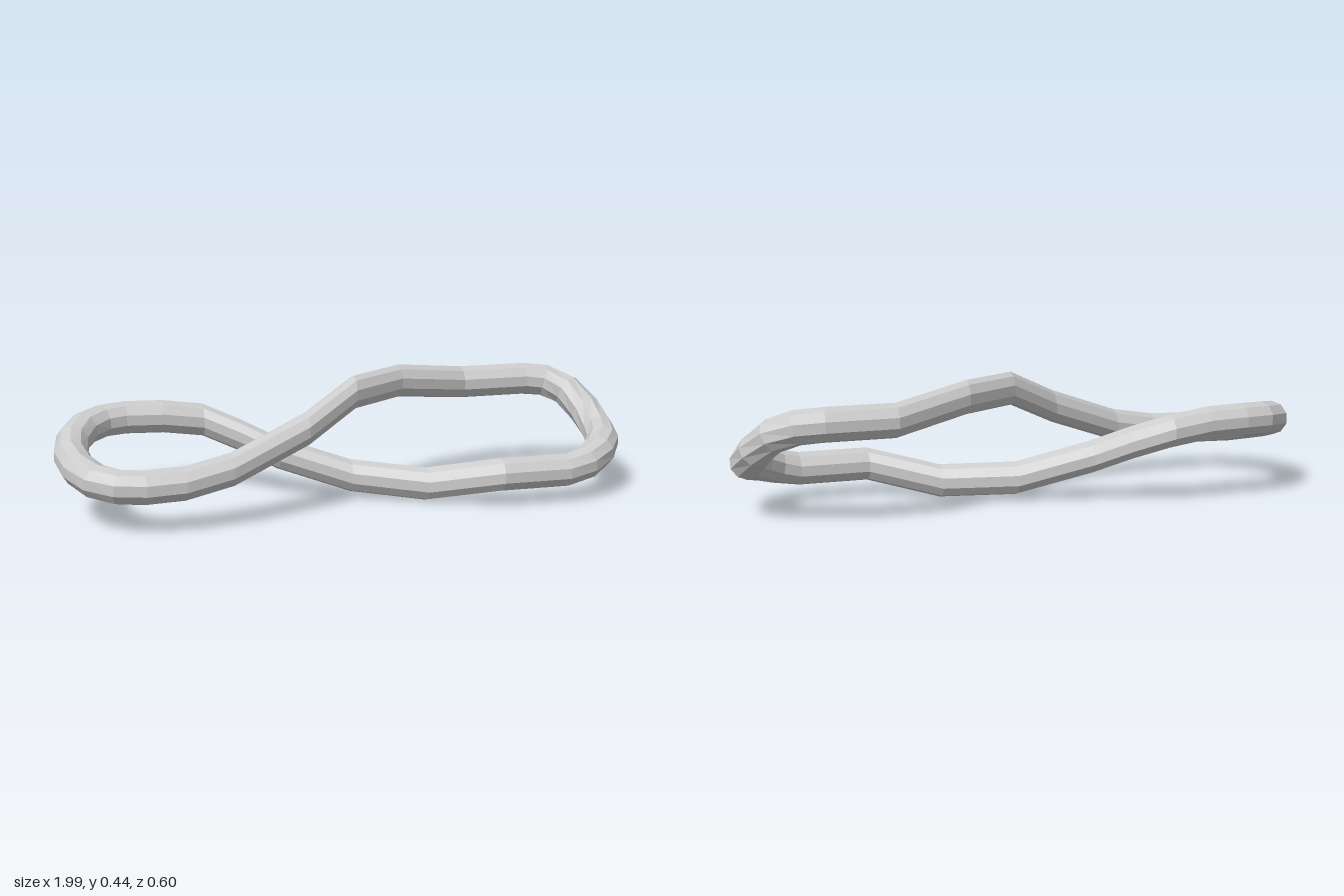
import * as THREE from 'three';

const RADIUS = 0.058, SIDES = 10;

// Half-elliptical bend between two strands; heights are given at equal angles
function bend(cx, reach, z0, z1, heights) {
  return heights.map((y, i) => {
    const a = (i / (heights.length - 1)) * Math.PI;
    const k = (1 - Math.cos(a)) / 2;
    return [cx + reach * Math.sin(a), y, z0 + (z1 - z0) * k];
  });
}

// Closed tube through the stations; rings on the strands stay square to x
function loopTube(stations) {
  const n = stations.length, pos = [], index = [];
  const P = stations.map(s => new THREE.Vector3(...s.p));
  const up = new THREE.Vector3(0, 1, 0);
  stations.forEach((s, i) => {
    const t = s.dir
      ? new THREE.Vector3(s.dir, 0, 0)
      : P[(i + 1) % n].clone().sub(P[(i + n - 1) % n]).normalize();
    const side = up.clone().cross(t).normalize();
    const rise = t.clone().cross(side);
    for (let j = 0; j < SIDES; j++) {
      const a = ((j + 0.5) / SIDES) * Math.PI * 2;
      const v = P[i].clone()
        .addScaledVector(side, RADIUS * Math.cos(a))
        .addScaledVector(rise, RADIUS * Math.sin(a));
      pos.push(v.x, v.y, v.z);
      const k = (j + 1) % SIDES, m = (i + 1) % n;
      const A = i * SIDES + j, B = i * SIDES + k, C = m * SIDES + k, D = m * SIDES + j;
      index.push(A, B, C, A, C, D);
    }
  });
  const g = new THREE.BufferGeometry();
  g.setAttribute('position', new THREE.Float32BufferAttribute(pos, 3));
  g.setIndex(index);
  g.computeVertexNormals();
  return g;
}

export function createModel() {
  // Strand rising from the front of one loop to the back of the other
  const upperStrand = [
    [-0.6, 0.16, 0.241], [-0.44, 0.19, 0.217], [-0.17, 0.29, 0.135],
    [0.02, 0.382, 0.03], [0.22, 0.385, -0.105], [0.49, 0.343, -0.215],
  ];
  // Strand returning underneath
  const lowerStrand = [
    [0.49, 0.108, 0.222], [0.26, 0.058, 0.095], [0.02, 0.075, -0.02],
    [-0.22, 0.15, -0.11], [-0.34, 0.205, -0.18], [-0.46, 0.252, -0.247],
    [-0.6, 0.272, -0.247],
  ];
  const rightBend = bend(0.73, 0.21, -0.215, 0.222,
    [0.343, 0.336, 0.305, 0.245, 0.19, 0.17, 0.15, 0.125, 0.108]);
  const leftBend = bend(-0.73, -0.212, -0.247, 0.241,
    [0.276, 0.273, 0.262, 0.24, 0.215, 0.19, 0.168, 0.158, 0.155]);

  const strand = (pts, dir) => pts.map(p => ({ p, dir }));
  const curve = (pts, d0, d1) => pts.map((p, i) => ({
    p, dir: i === 0 ? d0 : i === pts.length - 1 ? d1 : 0,
  }));
  const stations = [
    ...strand(upperStrand, 1), ...curve(rightBend, 1, -1),
    ...strand(lowerStrand, -1), ...curve(leftBend, -1, 1),
  ];

  const ring = new THREE.Mesh(
    loopTube(stations),
    new THREE.MeshStandardMaterial({ color: 0xcccccc, flatShading: true }),
  );
  ring.name = 'twistedRing';
  const model = new THREE.Group();
  model.name = 'figureEightLoop';
  model.add(ring);
  return model;
}
